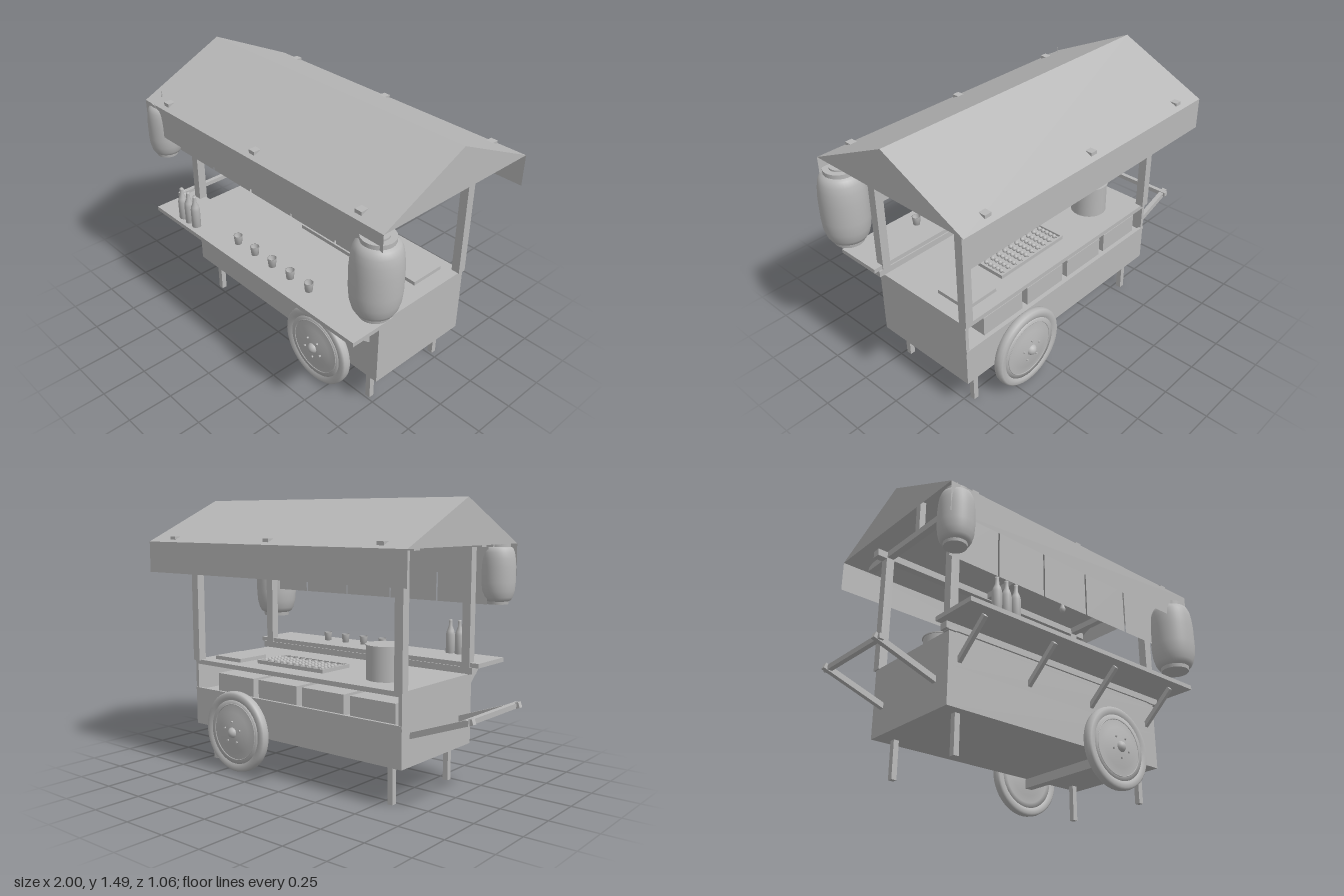
import * as THREE from 'three';

const grey = new THREE.MeshStandardMaterial({ color: 0xb8b8b8, side: THREE.DoubleSide });
grey.name = 'plainGrey';

export function createModel() {
  const root = new THREE.Group();
  root.name = 'foodCart';

  const add = (name, geometry, x = 0, y = 0, z = 0, parent = root) => {
    const mesh = new THREE.Mesh(geometry, grey);
    mesh.name = name;
    mesh.position.set(x, y, z);
    parent.add(mesh);
    return mesh;
  };
  // Box given by its limits on each axis
  const box = (name, x0, x1, y0, y1, z0, z1) =>
    add(name, new THREE.BoxGeometry(x1 - x0, y1 - y0, z1 - z0), (x0 + x1) / 2, (y0 + y1) / 2, (z0 + z1) / 2);
  // Square bar running between two points
  const bar = (name, a, b, w, h = w) => {
    const from = new THREE.Vector3(...a), to = new THREE.Vector3(...b);
    const mesh = add(name, new THREE.BoxGeometry(w, h, from.distanceTo(to)));
    mesh.position.copy(from).lerp(to, 0.5);
    mesh.lookAt(to);
    return mesh;
  };
  const lathe = (points, segments = 32) =>
    new THREE.LatheGeometry(points.map(([r, y]) => new THREE.Vector2(r, y)), segments);

  // Body, open at the back above the lower case
  box('lowerCase', -0.655, 0.8, 0.205, 0.405, -0.342, 0.287);
  box('frontPanel', -0.655, 0.8, 0.405, 0.56, 0.265, 0.287);
  for (const x of [-0.655, 0.78]) box('sidePanel', x, x + 0.02, 0.405, 0.56, -0.342, 0.265);
  box('worktop', -0.655, 0.8, 0.558, 0.583, -0.342, 0.287);
  box('shelfLip', -0.655, 0.8, 0.405, 0.42, -0.346, -0.33);

  // Storage bins in the back opening
  for (let i = 0; i < 4; i++) {
    const x = 0.505 - i * 0.32;
    box('storageBin', x - 0.14, x + 0.14, 0.406, 0.515, -0.31, -0.04);
  }

  // Legs and axle
  for (const x of [-0.555, 0.702])
    for (const z of [0.223, -0.279]) box('leg', x - 0.015, x + 0.015, 0, 0.21, z - 0.015, z + 0.015);
  box('axle', 0.392, 0.442, 0.152, 0.205, -0.4, 0.345);

  // Wheels: rounded tyre, domed disc, hub and bolts
  const tyreProfile = [[0.175, -0.018], [0.19, -0.027], [0.212, -0.027], [0.222, -0.018], [0.225, 0],
    [0.222, 0.018], [0.212, 0.027], [0.19, 0.027], [0.175, 0.018]];
  const discProfile = [[0, -0.04], [0.06, -0.036], [0.11, -0.026], [0.15, -0.02], [0.18, -0.02],
    [0.18, 0.02], [0.15, 0.02], [0.11, 0.026], [0.06, 0.036], [0, 0.04]];
  for (const [z, side] of [[0.33, 1], [-0.388, -1]]) {
    const wheel = new THREE.Group();
    wheel.name = 'wheel';
    wheel.position.set(0.417, 0.226, z);
    wheel.rotation.x = side * Math.PI / 2;
    root.add(wheel);
    add('tyre', lathe(tyreProfile, 48), 0, 0, 0, wheel);
    add('wheelDisc', lathe(discProfile, 48), 0, 0, 0, wheel);
    add('hub', new THREE.SphereGeometry(0.031, 20, 12), 0, 0.03, 0, wheel);
    const ring = add('discRing', new THREE.TorusGeometry(0.155, 0.003, 6, 48), 0, 0.02, 0, wheel);
    ring.rotation.x = Math.PI / 2;
    for (let i = 0; i < 5; i++) {
      const a = i * Math.PI * 2 / 5;
      add('bolt', new THREE.CylinderGeometry(0.006, 0.006, 0.014, 8), Math.sin(a) * 0.06, 0.038, Math.cos(a) * 0.06, wheel);
    }
  }

  // Push handle
  for (const z of [-0.262, 0.183]) bar('handleArm', [-0.64, 0.355, z], [-0.995, 0.482, z], 0.027, 0.03);
  bar('handleGrip', [-0.968, 0.475, -0.288], [-0.968, 0.475, 0.212], 0.026);

  // Serving counter with its ledger and sloping brackets
  box('counter', -0.714, 0.856, 0.618, 0.642, 0.257, 0.524);
  box('counterLedger', -0.68, 0.83, 0.583, 0.618, 0.25, 0.298);
  for (const x of [-0.59, -0.15, 0.29, 0.73]) bar('bracket', [x, 0.44, 0.28], [x, 0.608, 0.472], 0.022, 0.026);

  // Posts and roof frame
  const ridgeZ = -0.03;
  for (const x of [-0.64, 0.781])
    for (const z of [0.274, -0.33]) box('post', x - 0.024, x + 0.024, 0.58, 1.25, z - 0.024, z + 0.024);
  for (const z of [0.274, -0.33]) box('longBeam', -0.72, 0.87, 1.245, 1.285, z - 0.023, z + 0.023);
  for (const x of [-0.64, 0.07, 0.781]) {
    box('crossBeam', x - 0.02, x + 0.02, 1.252, 1.29, -0.502, 0.445);
    box('kingPost', x - 0.018, x + 0.018, 1.29, 1.47, ridgeZ - 0.018, ridgeZ + 0.018);
  }

  // Thin roof skin: slopes, gables and eave valances
  const [x0, x1, front, back, eave, ridge] = [-0.805, 0.952, 0.468, -0.528, 1.26, 1.491];
  const sheet = (name, ...corners) => {
    const g = new THREE.BufferGeometry();
    g.setAttribute('position', new THREE.Float32BufferAttribute(corners.flat(), 3));
    g.setIndex(corners.length === 4 ? [0, 1, 2, 0, 2, 3] : [0, 1, 2]);
    g.computeVertexNormals();
    add(name, g);
  };
  sheet('frontRoofSlope', [x0, eave, front], [x1, eave, front], [x1, ridge, ridgeZ], [x0, ridge, ridgeZ]);
  sheet('backRoofSlope', [x1, eave, back], [x0, eave, back], [x0, ridge, ridgeZ], [x1, ridge, ridgeZ]);
  sheet('leftGable', [x1, eave, front], [x1, eave, back], [x1, ridge, ridgeZ]);
  sheet('rightGable', [x0, eave, back], [x0, eave, front], [x0, ridge, ridgeZ]);
  sheet('frontValance', [x0, 1.09, front], [x1, 1.09, front], [x1, eave, front], [x0, eave, front]);
  sheet('backValance', [x1, 1.09, back], [x0, 1.09, back], [x0, eave, back], [x1, eave, back]);

  // Short curtains on a rod
  bar('curtainRod', [-0.74, 1.25, 0.338], [0.88, 1.25, 0.338], 0.012);
  for (let i = 0; i < 5; i++) {
    const left = -0.709 + i * 0.314;
    sheet('curtain', [left, 0.945, 0.338], [left + 0.304, 0.945, 0.338], [left + 0.304, 1.25, 0.338], [left, 1.25, 0.338]);
  }

  // Paper lanterns: barrel body with end caps and a hanging wire
  const barrel = [[0.08, -0.195], [0.095, -0.187], [0.108, -0.165], [0.12, -0.12], [0.125, -0.06], [0.125, 0.05],
    [0.12, 0.11], [0.113, 0.15], [0.1, 0.18], [0.08, 0.19]];
  const lantern = (x, y, scale) => {
    const g = new THREE.Group();
    g.name = 'lantern';
    g.position.set(x, y, 0.411);
    g.scale.setScalar(scale);
    root.add(g);
    add('lanternBody', lathe(barrel, 40), 0, 0, 0, g);
    add('lanternTopCap', new THREE.CylinderGeometry(0.083, 0.083, 0.03, 32), 0, 0.196, 0, g);
    add('lanternTopRing', new THREE.CylinderGeometry(0.052, 0.052, 0.012, 32), 0, 0.214, 0, g);
    add('lanternBottomCap', new THREE.CylinderGeometry(0.083, 0.078, 0.034, 32), 0, -0.199, 0, g);
    add('lanternWire', new THREE.CylinderGeometry(0.003, 0.003, 0.08, 8), 0, 0.25, 0, g);
  };
  lantern(0.874, 0.985, 1);
  lantern(-0.729, 1.104, 0.737);

  // Hanging bulb
  add('bulb', lathe([[0, 0], [0.011, 0.004], [0.018, 0.018], [0.017, 0.03], [0.009, 0.055], [0.008, 0.075], [0, 0.077]], 16), 0.41, 1.17, ridgeZ);
  add('bulbWire', new THREE.CylinderGeometry(0.002, 0.002, 0.25, 6), 0.41, 1.365, ridgeZ);

  // Bottles and cups on the counter
  const bottle = lathe([[0, 0], [0.025, 0], [0.025, 0.105], [0.021, 0.125], [0.011, 0.15], [0.009, 0.18], [0.01, 0.188], [0, 0.188]], 20);
  for (const x of [-0.524, -0.465, -0.406]) add('bottle', bottle, x, 0.642, 0.476);
  const cup = lathe([[0, 0], [0.019, 0], [0.024, 0.05], [0.021, 0.05], [0.017, 0.008], [0, 0.008]], 18);
  for (let i = 0; i < 5; i++) add('cup', cup, -0.118 + i * 0.1385, 0.642, 0.411);

  // Cooking pot with a rim and lid
  add('pot', new THREE.CylinderGeometry(0.1, 0.1, 0.178, 36), -0.4, 0.671, -0.125);
  add('potRim', new THREE.CylinderGeometry(0.105, 0.105, 0.006, 36), -0.4, 0.76, -0.125);

  // Chopping board
  box('choppingBoard', 0.51, 0.715, 0.583, 0.604, -0.267, -0.061);

  // Grill tray with rows of skewers
  box('grillBase', -0.06, 0.42, 0.583, 0.592, -0.22, 0.006);
  for (const z of [-0.22, -0.004]) box('grillRim', -0.06, 0.42, 0.59, 0.604, z, z + 0.01);
  for (const x of [-0.06, 0.41]) box('grillRim', x, x + 0.01, 0.59, 0.604, -0.22, 0.006);
  const morsel = new THREE.SphereGeometry(0.012, 10, 8);
  for (let i = 0; i < 10; i++) {
    const x = -0.027 + i * 0.046;
    bar('skewerStick', [x, 0.602, -0.21], [x, 0.602, -0.01], 0.005);
    for (let j = 0; j < 5; j++) add('skewerMorsel', morsel, x, 0.601, -0.077 - j * 0.027);
  }

  return root;
}
